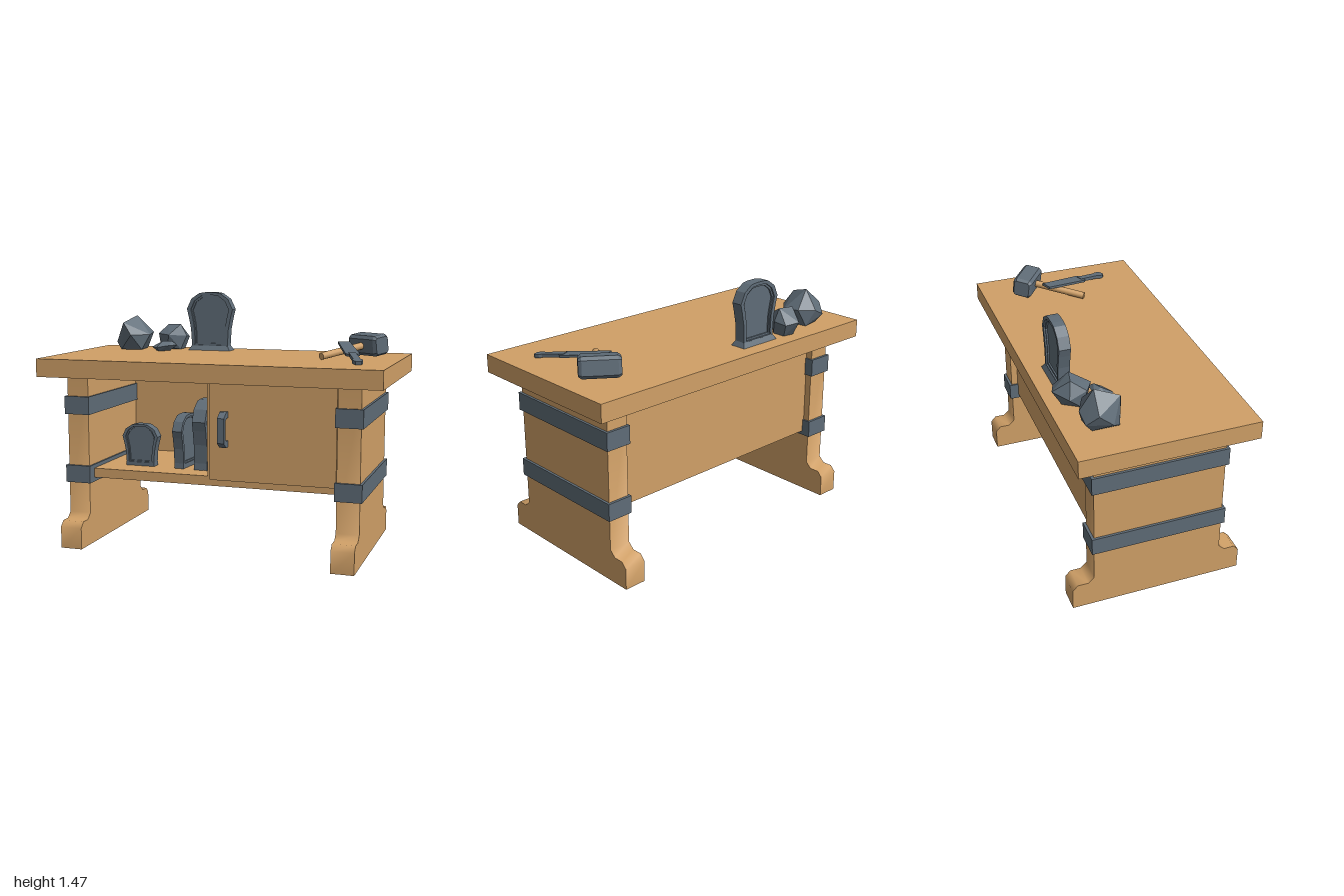
import * as THREE from 'three';
import { toCreasedNormals } from 'three/addons/utils/BufferGeometryUtils.js';
import { ConvexGeometry } from 'three/addons/geometries/ConvexGeometry.js';

export function createModel() {
  const root = new THREE.Group();
  root.name = 'workbench';
  const wood = new THREE.MeshStandardMaterial({ color: 0xd0a067, side: THREE.DoubleSide });
  wood.name = 'wood';
  const metal = new THREE.MeshStandardMaterial({ color: 0x5f6c77 });
  metal.name = 'darkMetal';

  const add = (name, geometry, material, parent = root) => {
    const mesh = new THREE.Mesh(geometry, material);
    mesh.name = name;
    parent.add(mesh);
    return mesh;
  };
  // Box given by its lower and upper corners
  const box = (name, material, x0, x1, y0, y1, z0, z1) => {
    const mesh = add(name, new THREE.BoxGeometry(x1 - x0, y1 - y0, z1 - z0), material);
    mesh.position.set((x0 + x1) / 2, (y0 + y1) / 2, (z0 + z1) / 2);
    return mesh;
  };
  const toShape = (points, hole) => {
    const path = (list) => list.map(([x, y]) => new THREE.Vector2(x, y));
    const shape = new THREE.Shape(path(points));
    if (hole) shape.holes.push(new THREE.Path(path(hole)));
    return shape;
  };
  // Right half of an outline, mirrored into a closed one
  const mirrored = (half) => [...half, ...half.map(([x, y]) => [-x, y]).reverse()];
  // Extrusion centred on its depth
  const slab = (shape, depth) => {
    const g = new THREE.ExtrudeGeometry(shape, { depth, bevelEnabled: false });
    return g.translate(0, 0, -depth / 2);
  };
  // Removes the faces lying on the lowest level
  const openBottom = (geometry) => {
    const source = geometry.index ? geometry.toNonIndexed() : geometry;
    source.computeBoundingBox();
    const limit = source.boundingBox.min.y + 1e-4;
    const p = source.attributes.position;
    const kept = [];
    for (let i = 0; i < p.count; i += 3) {
      if (Math.max(p.getY(i), p.getY(i + 1), p.getY(i + 2)) > limit) kept.push(i, i + 1, i + 2);
    }
    const open = new THREE.BufferGeometry();
    open.setAttribute('position', new THREE.Float32BufferAttribute(
      kept.flatMap((i) => [p.getX(i), p.getY(i), p.getZ(i)]), 3));
    open.computeVertexNormals();
    return open;
  };

  // Bench top
  box('benchTop', wood, -1, 1, 1.0, 1.105, -0.5, 0.5);

  // Hollow end supports with softly flared feet, wrapped by two metal bands each
  const legOutline = mirrored([
    [0.5, 0], [0.5, 0.125], [0.47, 0.157], [0.41, 0.157], [0.375, 0.19], [0.375, 1.0],
  ]);
  for (const side of [-1, 1]) {
    const legGeometry = openBottom(slab(toShape(legOutline), 0.13).rotateY(-Math.PI / 2));
    add('leg', toCreasedNormals(legGeometry, 0.9), wood).position.x = side * 0.802;
    for (const [y0, y1] of [[0.37, 0.472], [0.775, 0.88]]) {
      box('band', metal, -0.077, 0.077, y0, y1, -0.39, 0.39).position.x = side * 0.804;
    }
  }

  // Cabinet: hollow floor, back, divider and door; the -x half is open in front
  const floor = openBottom(new THREE.BoxGeometry(1.474, 0.055, 0.66));
  add('cabinetFloor', floor, wood).position.y = 0.4225;
  box('cabinetBack', wood, -0.737, 0.737, 0.395, 1.0, -0.335, -0.315);
  box('cabinetDivider', wood, -0.02, 0, 0.44, 1.0, -0.315, 0.332);
  box('cabinetDoor', wood, 0, 0.73, 0.435, 1.0, 0.33, 0.355);

  // Bracket handle on the door
  const handleOutline = [
    [0.355, 0.63], [0.39, 0.63], [0.43, 0.66], [0.43, 0.8], [0.385, 0.83], [0.355, 0.83],
    [0.355, 0.795], [0.38, 0.795], [0.403, 0.78], [0.403, 0.68], [0.385, 0.667], [0.355, 0.667],
  ];
  add('doorHandle', slab(toShape(handleOutline), 0.04).rotateY(-Math.PI / 2), metal).position.x = 0.092;

  // Arched metal blank: raised rim around a sunken panel on both faces
  const archHalf = [
    [0.8, 0], [0.78, 0.1], [0.82, 0.37], [0.92, 0.58], [1, 0.71], [0.8, 0.885], [0.45, 0.985], [0.2, 1],
  ];
  function arch(name, w, h, depth, x, y, z, turn) {
    const group = new THREE.Group();
    group.name = name;
    const inset = (k, lo, hi) => mirrored(archHalf.map(([u, v]) => [u * k * w / 2, (lo + (hi - lo) * v) * h]));
    const outer = inset(1, 0, 1);
    const middle = inset(0.83, 0.09, 0.95);
    const inner = inset(0.76, 0.12, 0.92);
    add('rim', slab(toShape(outer, middle), depth), metal, group);
    add('innerRim', slab(toShape(middle, inner), depth * 0.72), metal, group);
    add('panel', slab(toShape(inner), depth * 0.45), metal, group);
    group.position.set(x, y, z);
    group.rotation.y = turn;
    root.add(group);
    return group;
  }
  const tall = arch('standingArch', 0.3, 0.36, 0.066, -0.235, 1.105, -0.358, 0);
  const shelfArches = [
    ['shelfArchFront', 0.225, 0.25, 0.06, -0.498, 0.45, 0.15, 0],
    ['shelfArchMiddle', 0.27, 0.315, 0.06, -0.241, 0.45, 0.08, Math.PI / 2 - 0.07],
    ['shelfArchTall', 0.34, 0.405, 0.08, -0.11, 0.45, 0.06, Math.PI / 2],
  ];
  for (const spec of shelfArches) {
    // Open base edge set slightly into the floor
    const [, w, , depth] = spec;
    const a = w * 0.4, b = depth / 2, t = 0.014;
    const edge = slab(toShape(
      [[a, -b], [a, b], [-a, b], [-a, -b]],
      [[a - t, t - b], [a - t, b - t], [t - a, b - t], [t - a, t - b]],
    ), 0.008).rotateX(Math.PI / 2);
    add('baseEdge', edge, metal, arch(...spec)).position.y = -0.002;
  }

  // Spreading foot below the standing arch
  const foot = new THREE.CylinderGeometry(Math.SQRT1_2, Math.SQRT1_2, 0.028, 4).rotateY(Math.PI / 4).toNonIndexed();
  const fp = foot.attributes.position;
  for (let i = 0; i < fp.count; i++) {
    const top = fp.getY(i) > 0;
    fp.setX(i, fp.getX(i) * (top ? 0.236 : 0.27));
    fp.setZ(i, fp.getZ(i) * (top ? 0.067 : 0.1));
  }
  foot.computeVertexNormals();
  add('foot', foot, metal, tall).position.y = 0.014;

  // Faceted rocks, each the hull of a few corners
  const rock = (name, corners) => add(name, new ConvexGeometry(corners.map((c) => new THREE.Vector3(...c))), metal);
  rock('largeRock', [
    [-0.72, 1.315, -0.32], [-0.76, 1.275, -0.19], [-0.605, 1.2, -0.25], [-0.835, 1.22, -0.33],
    [-0.83, 1.15, -0.25], [-0.78, 1.107, -0.2], [-0.65, 1.107, -0.22], [-0.7, 1.2, -0.165],
    [-0.62, 1.21, -0.35], [-0.72, 1.2, -0.4], [-0.8, 1.16, -0.39], [-0.67, 1.107, -0.37], [-0.78, 1.107, -0.35],
  ]);
  rock('mediumRock', [
    [-0.53, 1.26, -0.38], [-0.44, 1.262, -0.36], [-0.565, 1.205, -0.3], [-0.4, 1.19, -0.36],
    [-0.43, 1.107, -0.33], [-0.56, 1.107, -0.33], [-0.575, 1.17, -0.4], [-0.49, 1.19, -0.47],
    [-0.41, 1.18, -0.44], [-0.48, 1.2, -0.25], [-0.5, 1.107, -0.42], [-0.43, 1.107, -0.41], [-0.5, 1.12, -0.28],
  ]);
  rock('smallRock', [
    [-0.565, 1.13, -0.185], [-0.527, 1.15, -0.25], [-0.42, 1.14, -0.246], [-0.45, 1.14, -0.18],
    [-0.515, 1.13, -0.135], [-0.5, 1.165, -0.2], [-0.45, 1.165, -0.225],
    [-0.54, 1.106, -0.2], [-0.46, 1.106, -0.22], [-0.51, 1.106, -0.16],
  ]);

  // Group whose y axis runs from a to b, with z close to up
  function along(name, a, b) {
    const group = new THREE.Group();
    group.name = name;
    const start = new THREE.Vector3(...a);
    const yAxis = new THREE.Vector3(...b).sub(start).normalize();
    const xAxis = yAxis.clone().cross(new THREE.Vector3(0, 1, 0)).normalize();
    const zAxis = xAxis.clone().cross(yAxis);
    group.quaternion.setFromRotationMatrix(new THREE.Matrix4().makeBasis(xAxis, yAxis, zAxis));
    group.position.copy(start);
    root.add(group);
    return group;
  }

  // Hammer lying on its side
  const hammer = along('hammer', [0.784, 1.178, -0.225], [0.572, 1.127, 0.075]);
  add('hammerHandle', new THREE.CylinderGeometry(0.021, 0.021, 0.37, 10).translate(0, 0.185, 0), wood, hammer);
  const r = 0.047, c = 0.036;
  const headShape = toShape([[r, -c], [r, c], [c, r], [-c, r], [-r, c], [-r, -c], [-c, -r], [c, -r]]);
  const head = new THREE.ExtrudeGeometry(headShape, {
    depth: 0.19, bevelEnabled: true, bevelThickness: 0.018, bevelSize: 0.012, bevelSegments: 1,
  });
  add('hammerHead', head.translate(0, 0, -0.095).rotateY(Math.PI / 2), metal, hammer);

  // Chisel leaning across the hammer handle
  const chisel = along('chisel', [0.655, 1.19, -0.142], [0.828, 1.116, 0.285]);
  add('chiselBlade', slab(toShape(mirrored([[0.034, 0], [0.04, 0.285], [0.02, 0.3]])), 0.014), metal, chisel);
  add('chiselGrip', slab(toShape(mirrored([
    [0.02, 0.27], [0.02, 0.41], [0.028, 0.425], [0.028, 0.445], [0.016, 0.463],
  ])), 0.02), metal, chisel);

  return root;
}
